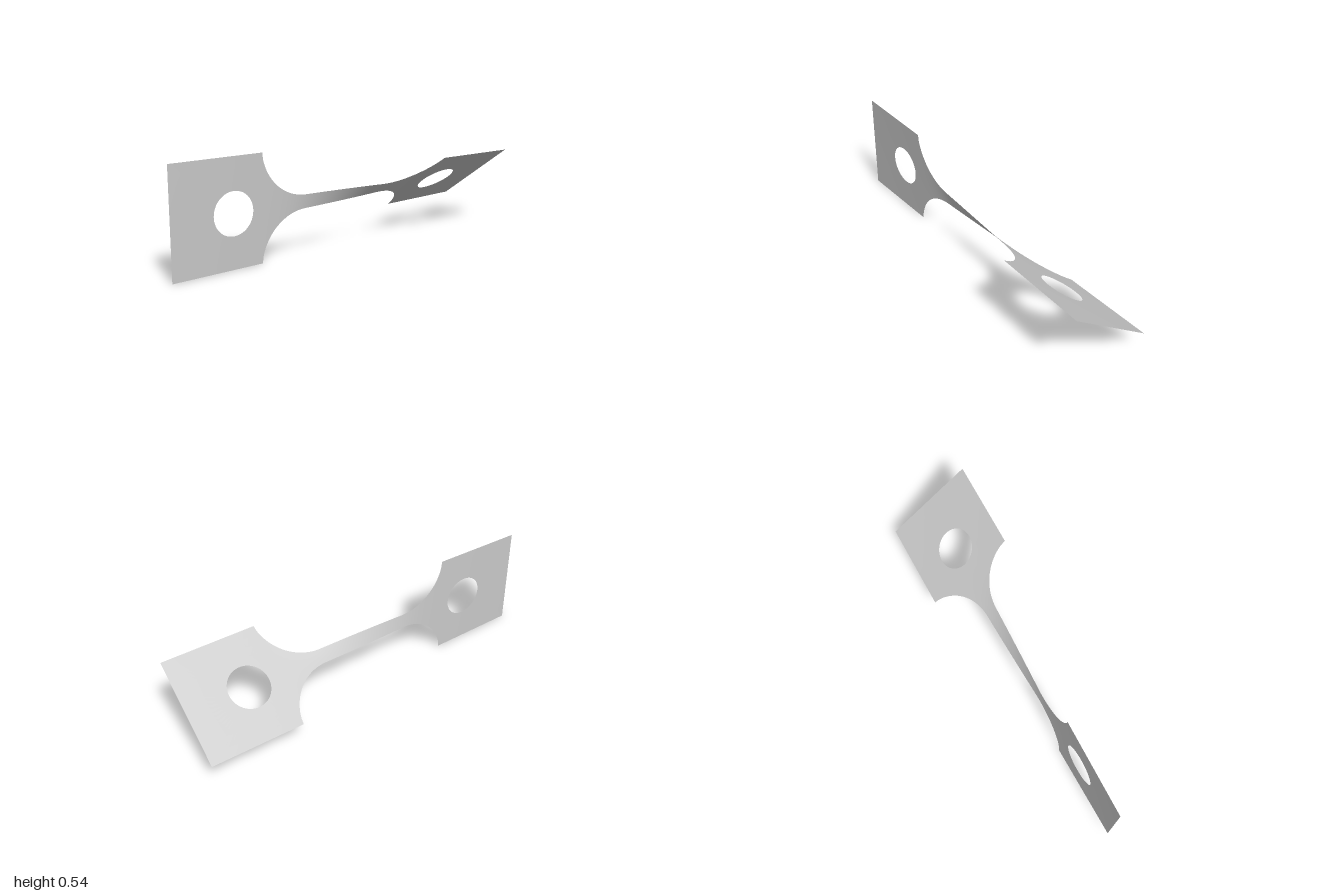
import * as THREE from 'three';

const TAB = 0.508, NECK = 0.25;          // inner end of the tabs, end of the straight neck
const TAB_HALF = 0.271, NECK_HALF = 0.0365;
const FILLET = 0.2615;                   // fillet radius
const HOLE_X = 0.669, HOLE_R = 0.108;
const TWIST = THREE.MathUtils.degToRad(54.7);

// half width of the strip at x
function halfWidth(x) {
  const d = Math.abs(x);
  if (d >= TAB) return TAB_HALF;
  if (d <= NECK) return NECK_HALF;
  return NECK_HALF + FILLET - Math.sqrt(FILLET ** 2 - (d - NECK) ** 2);
}

// accumulated twist: narrow parts twist far more than wide ones
const STEPS = 800, twistTable = [0];
for (let i = 0; i < STEPS; i++) {
  const x = -1 + (2 * (i + 0.5)) / STEPS;
  twistTable.push(twistTable[i] + halfWidth(x) ** -1.6);
}
function twistAt(x) {
  const t = THREE.MathUtils.clamp((x + 1) / 2, 0, 1) * STEPS;
  const i = Math.min(Math.floor(t), STEPS - 1);
  return (TWIST * THREE.MathUtils.lerp(twistTable[i], twistTable[i + 1], t - i)) / twistTable[STEPS];
}

// twisted sheet from rows of flat [x, v] points
function sheet(name, rows, material) {
  const positions = [], index = [], n = rows[0].length;
  rows.forEach((row, r) => row.forEach(([x, v], c) => {
    const a = twistAt(x);
    positions.push(x, TAB_HALF + v * Math.cos(a), v * Math.sin(a));
    if (r && c) {
      const k = r * n + c;
      index.push(k - n - 1, k - 1, k, k - n - 1, k, k - n);
    }
  }));
  const geometry = new THREE.BufferGeometry();
  geometry.setAttribute('position', new THREE.Float32BufferAttribute(positions, 3));
  geometry.setIndex(index);
  geometry.computeVertexNormals();
  const mesh = new THREE.Mesh(geometry, material);
  mesh.name = name;
  return mesh;
}

// square tab: rings running from the round hole out to the rectangle
function tabRows(side) {
  const cx = side * HOLE_X;
  const x0 = side < 0 ? -1 : TAB, x1 = side < 0 ? -TAB : 1;
  const corners = [[x0, -TAB_HALF], [x1, -TAB_HALF], [x1, TAB_HALF], [x0, TAB_HALF], [x0, -TAB_HALF]];
  const edge = [], perSide = 16;
  for (let s = 0; s < 4; s++) {
    for (let i = 0; i < perSide; i++) {
      const t = i / perSide, [ax, av] = corners[s], [bx, bv] = corners[s + 1];
      edge.push([ax + (bx - ax) * t, av + (bv - av) * t]);
    }
  }
  edge.push(corners[0]);
  return [1, 0.75, 0.5, 0.25, 0].map((k) => edge.map(([x, v]) => {
    const a = Math.atan2(v, x - cx);
    const hx = cx + HOLE_R * Math.cos(a), hv = HOLE_R * Math.sin(a);
    return [x + (hx - x) * k, v + (hv - v) * k];
  }));
}

// fillets and neck: cross lines placed evenly along the arcs
function neckRows() {
  const arc = [], start = Math.acos((TAB - NECK) / FILLET), n = 24;
  for (let i = 0; i < n; i++) {
    const a = start + ((Math.PI / 2 - start) * i) / n;
    arc.push(-NECK - FILLET * Math.cos(a));
  }
  const xs = [...arc];
  for (let i = 0; i <= 30; i++) xs.push(-NECK + (2 * NECK * i) / 30);
  xs.push(...arc.map((x) => -x).reverse());
  return xs.map((x) => {
    const row = [], h = halfWidth(x);
    for (let j = 0; j <= 8; j++) row.push([x, h * (1 - j / 4)]);
    return row;
  });
}

export function createModel() {
  const group = new THREE.Group();
  group.name = 'twistedTestStrip';
  const metal = new THREE.MeshStandardMaterial({ color: 0xc8c8c8, side: THREE.DoubleSide });
  metal.name = 'lightGrey';
  group.add(
    sheet('rightTab', tabRows(-1), metal),
    sheet('twistedNeck', neckRows(), metal),
    sheet('leftTab', tabRows(1), metal),
  );
  return group;
}
